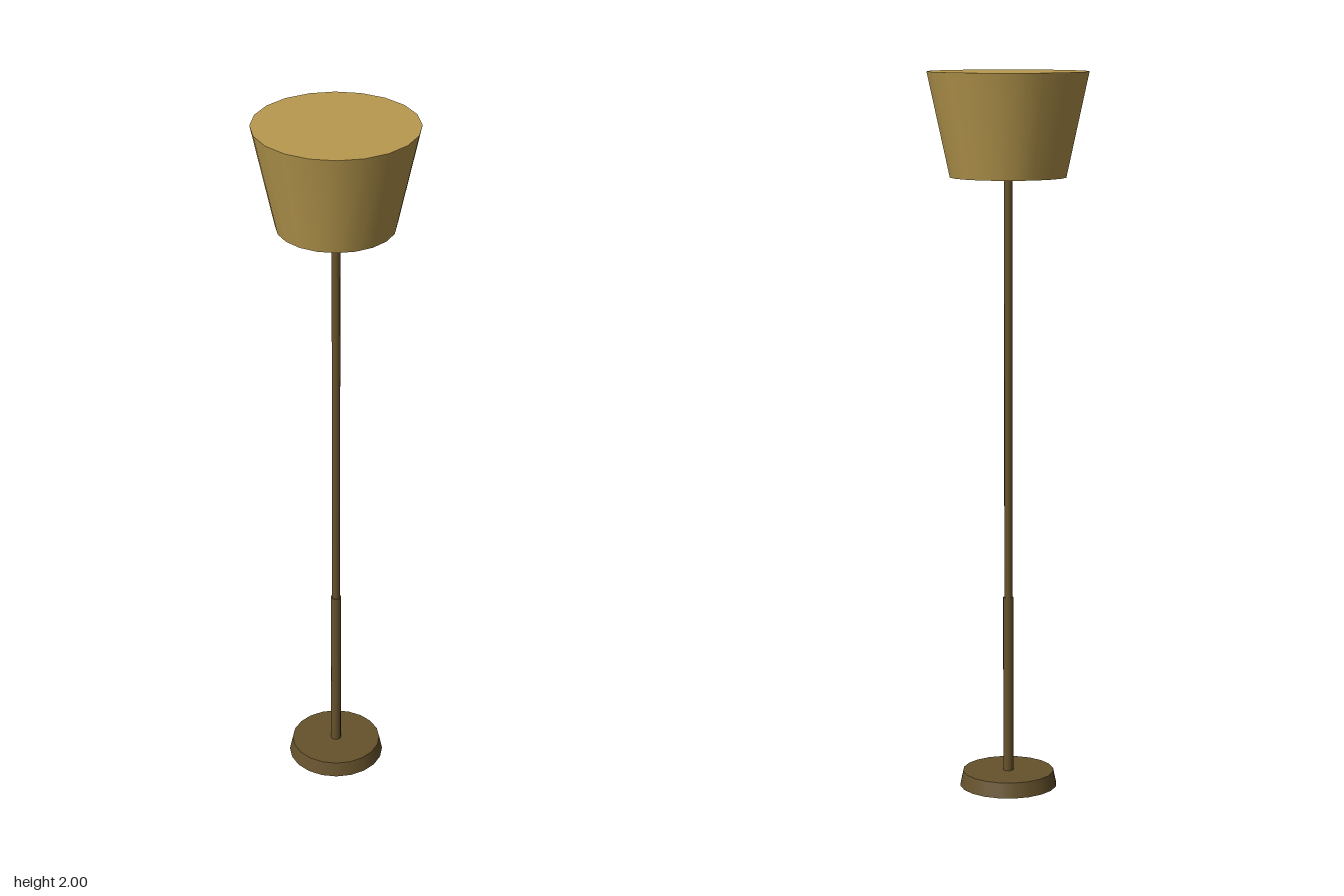
import * as THREE from 'three';

const SIDES = 20;

export function createModel() {
  const lamp = new THREE.Group();
  lamp.name = 'floorLamp';

  const brass = new THREE.MeshStandardMaterial({ color: 0x66522c });
  const fabric = new THREE.MeshStandardMaterial({ color: 0xb8994e });

  // Closed round part standing between two heights
  const addRound = (name, bottomRadius, topRadius, y0, y1, material, sides = SIDES) => {
    const geometry = new THREE.CylinderGeometry(topRadius, bottomRadius, y1 - y0, sides);
    geometry.translate(0, (y0 + y1) / 2, 0);
    const mesh = new THREE.Mesh(geometry, material);
    mesh.name = name;
    lamp.add(mesh);
  };

  // Weighted foot, slightly tapered
  addRound('base', 0.137, 0.128, 0, 0.042, brass);

  // Two-stage pole: thicker sleeve below, slim rod up into the shade
  addRound('lowerPole', 0.0145, 0.0145, 0.042, 0.543, brass, 12);
  addRound('upperPole', 0.0115, 0.0115, 0.543, 1.72, brass, 12);

  // Shade flaring upwards, closed at both ends
  addRound('shade', 0.16, 0.222, 1.715, 2, fabric);

  return lamp;
}
